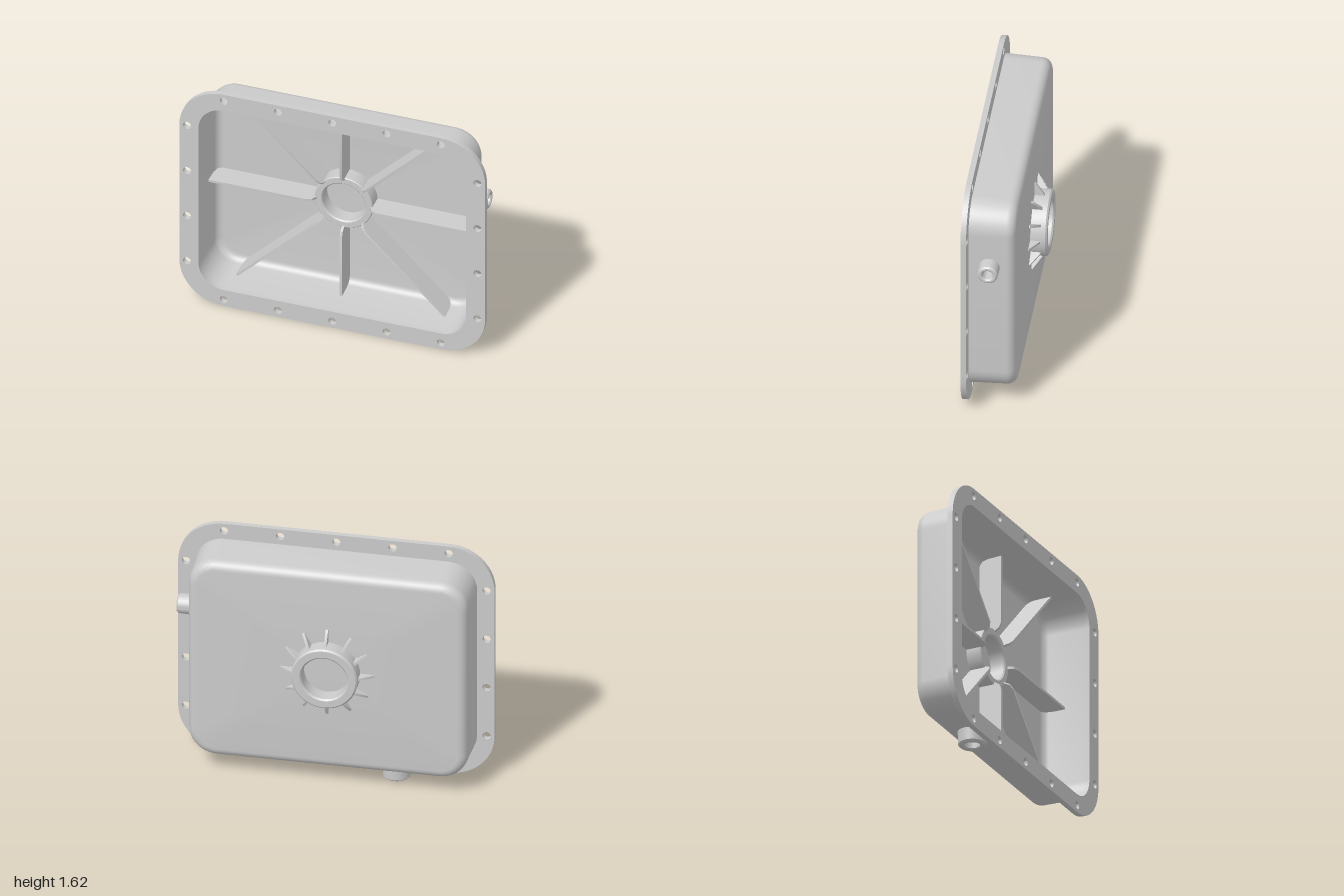
import * as THREE from 'three';
import { toCreasedNormals } from 'three/addons/utils/BufferGeometryUtils.js';

const CY = 0.81; // height of the pan centre
const material = new THREE.MeshStandardMaterial({ color: 0xcccccc });

function part(name, geometry, parent) {
  const mesh = new THREE.Mesh(toCreasedNormals(geometry, 0.6), material);
  mesh.name = name;
  parent.add(mesh);
  return mesh;
}

// Rounded rectangle as a counter-clockwise list of points
function roundedRect(hw, hh, r, steps = 14) {
  const pts = [];
  [[1, 1], [-1, 1], [-1, -1], [1, -1]].forEach(([sx, sy], q) => {
    for (let i = 0; i <= steps; i++) {
      const a = (q + i / steps) * Math.PI / 2;
      pts.push(new THREE.Vector2(sx * (hw - r) + r * Math.cos(a), sy * (hh - r) + r * Math.sin(a)));
    }
  });
  return pts;
}

// Lofts rounded rectangles; each section is [points, z]
function loft(sections) {
  const pos = [], idx = [], n = sections[0][0].length;
  sections.forEach(([pts, z]) => pts.forEach(p => pos.push(p.x, p.y, z)));
  for (let i = 0; i < sections.length - 1; i++) {
    for (let j = 0; j < n; j++) {
      const a = i * n + j, b = i * n + (j + 1) % n;
      idx.push(a, b, b + n, a, b + n, a + n);
    }
  }
  const g = new THREE.BufferGeometry();
  g.setAttribute('position', new THREE.Float32BufferAttribute(pos, 3));
  g.setIndex(idx);
  return g;
}

// Closed ring turned about y
function turned(profile) {
  const pts = [...profile, profile[0]].map(p => new THREE.Vector2(...p));
  return new THREE.LatheGeometry(pts, 48);
}

// Hollow boss standing on y = 0
function bossGeometry(ro, ri, h) {
  return turned([[ri, 0], [ro * 1.04, 0], [ro, h - 0.01], [ro - 0.01, h], [ri + 0.008, h], [ri, h - 0.008]]);
}

// Thin plate in the radius/z plane, turned about the hub axis
function radialPlate(outline, thickness, angle) {
  const shape = new THREE.Shape(outline.map(p => new THREE.Vector2(...p)));
  const g = new THREE.ExtrudeGeometry(shape, { depth: thickness, bevelEnabled: false });
  return g.translate(0, 0, -thickness / 2).rotateX(Math.PI / 2).rotateZ(angle);
}

export function createModel() {
  const model = new THREE.Group();
  model.name = 'coverPan';
  const body = new THREE.Group();
  body.name = 'body';
  body.position.y = CY;
  model.add(body);

  // Flange with bolt holes
  const flange = new THREE.Shape(roundedRect(1, 0.81, 0.29));
  flange.holes.push(new THREE.Path(roundedRect(0.875, 0.688, 0.17).reverse()));
  const addHole = (x, y) => flange.holes.push(new THREE.Path().absarc(x, y, 0.026, 0, Math.PI * 2, true));
  for (const s of [-1, 1]) {
    for (let i = -2; i <= 2; i++) addHole(i * 0.355, s * 0.76);
    for (let i = -1.5; i <= 1.5; i++) addHole(s * 0.95, i * 0.346);
  }
  part('flange', new THREE.ExtrudeGeometry(flange, { depth: 0.035, bevelEnabled: false, curveSegments: 16 })
    .translate(0, 0, 0.18), body);

  // Pan shell: outside from floor to rim, then back down the inside
  const section = (inset, z) => [roundedRect(0.89 - inset, 0.703 - inset, 0.185 - inset), z];
  const centre = z => [roundedRect(0, 0, 0), z];
  const fillet = (inset, floor, r) => {
    const out = [];
    for (let i = 0; i <= 8; i++) {
      const a = i / 8 * Math.PI / 2;
      out.push(section(inset + r * (1 - Math.sin(a)), floor + r * (1 - Math.cos(a))));
    }
    return out;
  };
  part('panShell', loft([
    centre(-0.112), ...fillet(0.008, -0.112, 0.06), section(0, 0.185),
    section(0.015, 0.185), ...fillet(0.026, -0.1, 0.05).reverse(), centre(-0.1),
  ]), body);

  // Hub: tall collar behind, lower ring inside
  part('rearHubCollar', turned([[0.155, -0.215], [0.2, -0.215], [0.21, -0.205], [0.21, -0.105],
    [0.145, -0.105], [0.145, -0.205]]).rotateX(Math.PI / 2), body);
  part('innerHubRing', turned([[0.14, -0.105], [0.19, -0.105], [0.19, -0.005], [0.185, 0],
    [0.148, 0], [0.14, -0.008]]).rotateX(Math.PI / 2), body);

  // Eight inner ribs running from the hub to the walls
  const ribs = new THREE.Group();
  ribs.name = 'innerRibs';
  body.add(ribs);
  for (let i = 0; i < 8; i++) {
    const end = i % 2 ? 0.962 : (i % 4 ? 0.68 : 0.866);
    const outline = [[0.175, -0.105], [end - 0.045, -0.105], [end - 0.015, -0.08], [end - 0.004, -0.04],
      [end, 0.05], [0.23, 0.05], [0.195, 0.035], [0.175, 0.003]];
    // plates lie in the radius/z plane
    part('innerRib', radialPlate(outline, 0.016, i * Math.PI / 4), ribs);
  }

  // Twelve gussets bracing the rear collar
  const gussets = new THREE.Group();
  gussets.name = 'rearGussets';
  body.add(gussets);
  for (let i = 0; i < 12; i++) {
    const outline = [[0.2, -0.105], [0.2, -0.175], [0.215, -0.175], [0.3, -0.118], [0.3, -0.105]];
    part('rearGusset', radialPlate(outline, 0.016, i * Math.PI / 6), gussets);
  }

  // Side and drain fittings
  part('sideFitting', bossGeometry(0.063, 0.033, 0.095).rotateZ(-Math.PI / 2), body).position.set(0.88, 0.288, 0.05);
  part('drainFitting', bossGeometry(0.088, 0.048, 0.1).rotateX(Math.PI), body).position.set(-0.41, -0.69, 0.053);

  return model;
}
